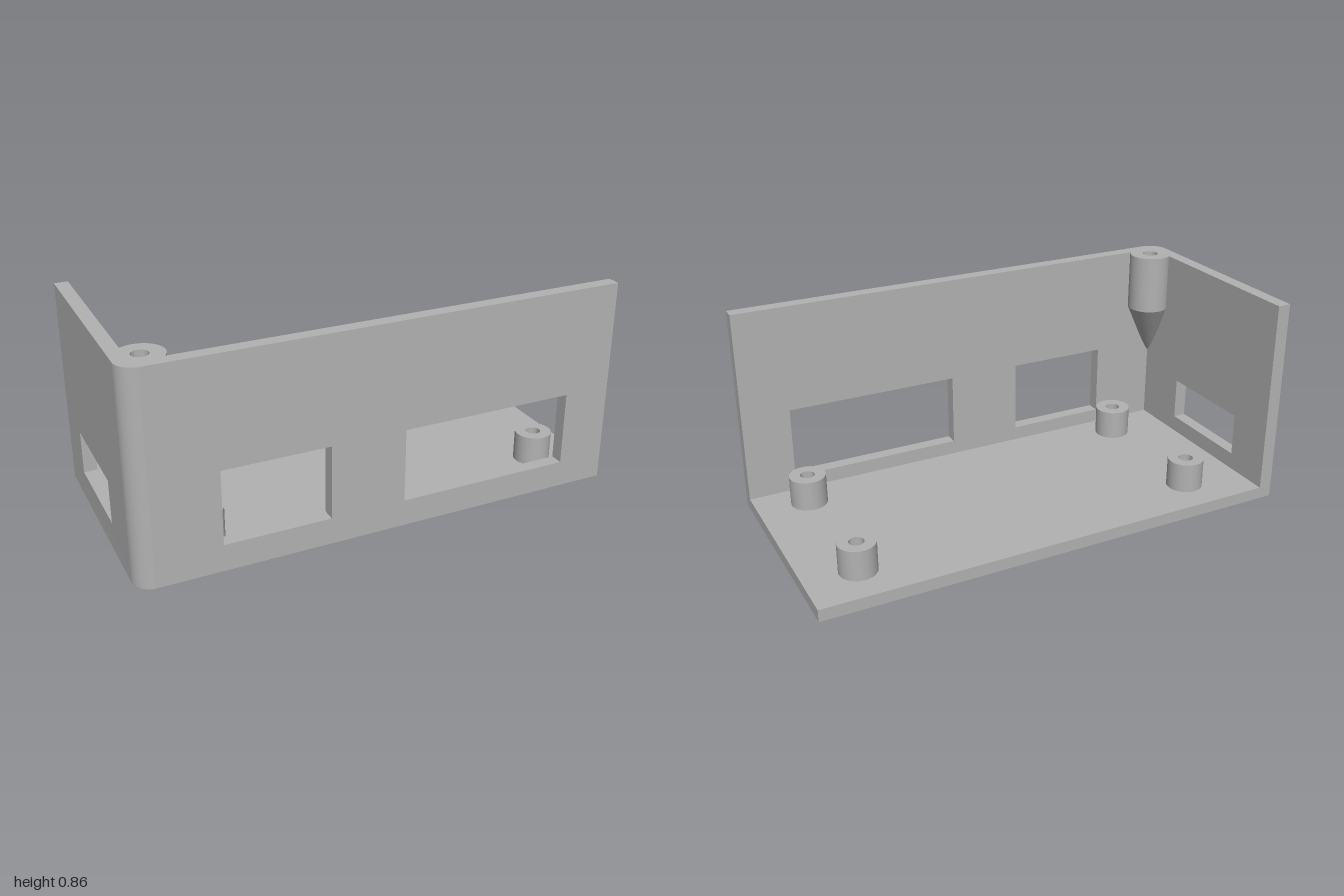
import * as THREE from 'three';
import { toCreasedNormals } from 'three/addons/utils/BufferGeometryUtils.js';

const H = 0.86, FLOOR = 0.05, WALL = 0.055, D = 0.47, R = 0.075;

export function createModel() {
  const group = new THREE.Group();
  const grey = new THREE.MeshStandardMaterial({ color: 0xb2b2b2 });

  const add = (name, geometry, x = 0, y = 0, z = 0) => {
    const mesh = new THREE.Mesh(toCreasedNormals(geometry, 0.6), grey);
    mesh.name = name;
    mesh.position.set(x, y, z);
    group.add(mesh);
  };
  const extrude = (shape, depth) =>
    new THREE.ExtrudeGeometry(shape, { depth, bevelEnabled: false, curveSegments: 12 });
  const rect = (path, x0, y0, x1, y1) =>
    path.moveTo(x0, y0).lineTo(x1, y0).lineTo(x1, y1).lineTo(x0, y1).closePath();
  // Upright panel from u0 to u1 with rectangular openings
  const panel = (u0, u1, openings) => {
    const shape = rect(new THREE.Shape(), u0, FLOOR, u1, H);
    for (const o of openings) shape.holes.push(rect(new THREE.Path(), ...o));
    return extrude(shape, WALL);
  };
  // Hollow round post standing on y = 0
  const post = (outer, inner, h) => new THREE.LatheGeometry([
    new THREE.Vector2(outer, 0), new THREE.Vector2(outer, h),
    new THREE.Vector2(inner, h), new THREE.Vector2(inner, 0),
  ], 40);

  // Floor with one rounded corner (plan drawn with y = -z)
  const plan = new THREE.Shape().moveTo(1, -D).lineTo(1, D).lineTo(-1, D).lineTo(-1, R - D);
  plan.absarc(R - 1, R - D, R, Math.PI, Math.PI * 1.5, false);
  add('floor', extrude(plan, FLOOR).rotateX(-Math.PI / 2));

  // Front wall with two openings
  add('frontWall', panel(R - 1, 1, [
    [-0.67, 0.11, -0.24, 0.415], [0.07, 0.11, 0.8, 0.415],
  ]), 0, 0, D - WALL);

  // Side wall with one opening
  add('sideWall', panel(R - D, D, [[-0.165, 0.12, 0.265, 0.3]]).rotateY(Math.PI / 2), -1);

  // Rounded corner joining both walls
  const corner = new THREE.Shape().moveTo(-1, R - D);
  corner.absarc(R - 1, R - D, R, Math.PI, Math.PI * 1.5, false);
  corner.lineTo(R - 1, WALL - D).lineTo(WALL - 1, WALL - D).lineTo(WALL - 1, R - D);
  add('roundedCorner', extrude(corner, H - FLOOR).rotateX(-Math.PI / 2), 0, FLOOR);

  // Board standoffs
  for (const x of [-0.68, 0.785])
    for (const z of [-0.293, 0.287])
      add('standoff', post(0.075, 0.03, 0.125), x, FLOOR, z);

  // Corner screw post, with a support tapering back into the corner
  const px = -0.895, pz = 0.36, py = 0.61, drop = 0.3;
  add('screwPost', post(0.09, 0.033, H - py), px, py, pz);
  const taper = new THREE.CylinderGeometry(0.09, 0.001, drop, 40, 1).translate(0, -drop / 2, 0);
  const p = taper.attributes.position;
  for (let i = 0; i < p.count; i++) {
    const t = -p.getY(i) / drop;
    p.setX(i, p.getX(i) - 0.08 * t);
    p.setZ(i, p.getZ(i) + 0.08 * t);
  }
  add('screwPostTaper', taper, px, py, pz);

  return group;
}
